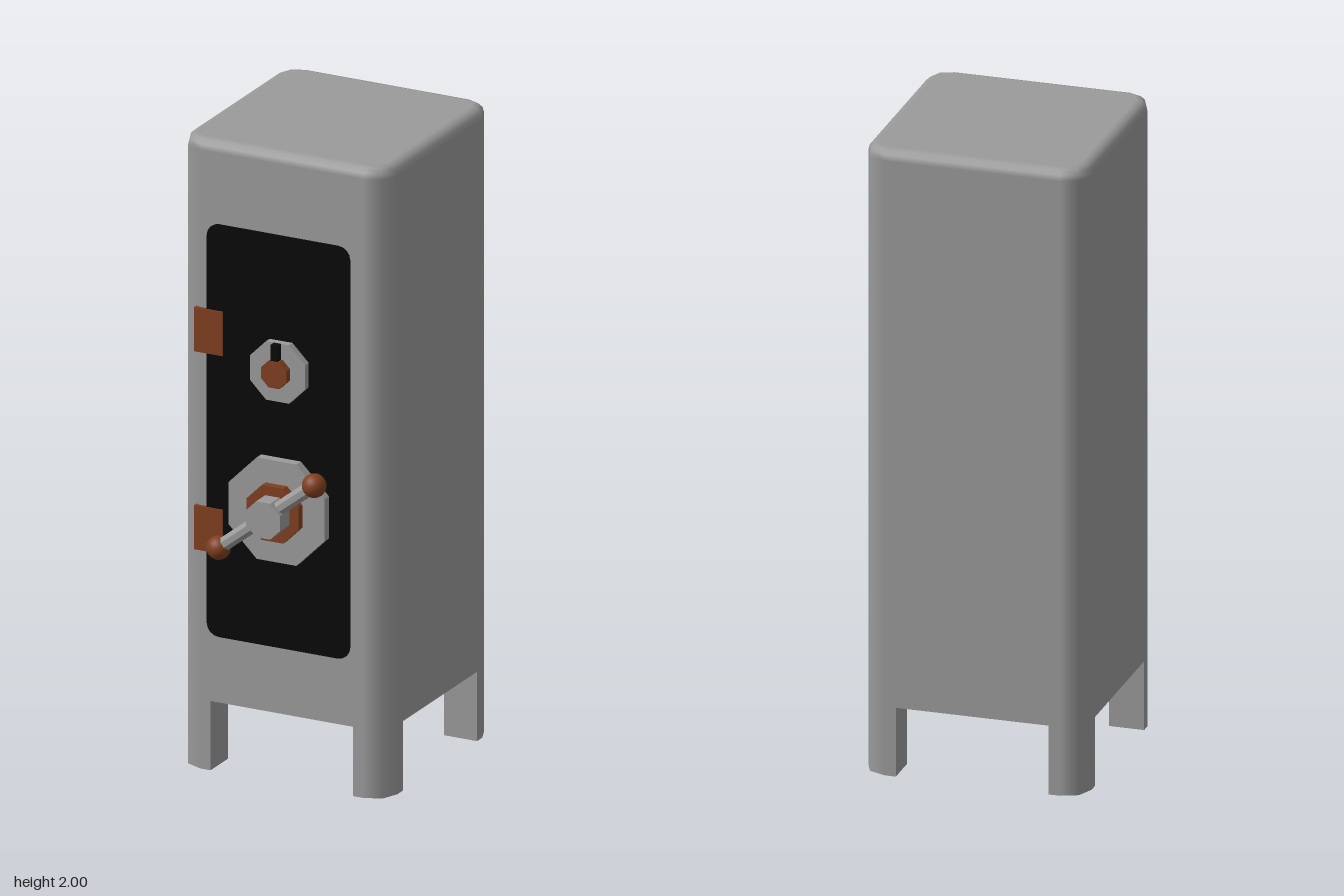
import * as THREE from 'three';

const grey = new THREE.MeshStandardMaterial({ color: 0x9a9a9a });
const greyFlat = new THREE.MeshStandardMaterial({ color: 0x9a9a9a, flatShading: true });
const black = new THREE.MeshStandardMaterial({ color: 0x080808 });
const copper = new THREE.MeshStandardMaterial({ color: 0x7f3f1f });
const copperFlat = new THREE.MeshStandardMaterial({ color: 0x7f3f1f, flatShading: true });

const HALF = 0.349, MID_Z = -0.065, R = 0.075, TOP_R = 0.035, LEG_H = 0.22, LEG_W = 0.11;
const CORE = HALF - R, FRONT = MID_Z + HALF;

// rounded corner in two steps; q = quadrant 0..3
function corner(q, r) {
  const sx = q === 0 || q === 3 ? 1 : -1, sz = q < 2 ? 1 : -1;
  return [0, 1, 2].map((i) => {
    const a = (q + i / 2) * Math.PI / 2, c = Math.cos(a), s = Math.sin(a);
    return { x: sx * CORE + r * c, z: sz * CORE + r * s, c, s };
  });
}

// cabinet body: stacked rounded-square rings with flat caps; normals follow the rounding
function bodyGeometry() {
  const rings = [[LEG_H, R, -1], [LEG_H, R, 0]];
  for (let i = 0; i <= 3; i++) {
    const a = i * Math.PI / 6;
    rings.push([2 - TOP_R + TOP_R * Math.sin(a), R - TOP_R + TOP_R * Math.cos(a), Math.sin(a)]);
  }
  const pos = [], nor = [], idx = [], n = 12;
  for (const [y, r, ny] of rings) {
    const side = Math.sqrt(Math.max(0, 1 - ny * ny));
    for (let q = 0; q < 4; q++)
      for (const p of corner(q, r)) {
        pos.push(p.x, y, p.z);
        nor.push(p.c * side, ny, p.s * side);
      }
  }
  const bottom = pos.length / 3, top = bottom + 1, last = (rings.length - 1) * n;
  pos.push(0, LEG_H, 0, 0, 2, 0);
  nor.push(0, -1, 0, 0, 1, 0);
  for (let i = 0; i < n; i++) {
    const j = (i + 1) % n;
    for (let k = n; k < last; k += n)
      idx.push(k + i, k + n + i, k + n + j, k + i, k + n + j, k + j);
    idx.push(bottom, i, j, top, last + j, last + i);
  }
  const g = new THREE.BufferGeometry();
  g.setAttribute('position', new THREE.Float32BufferAttribute(pos, 3));
  g.setAttribute('normal', new THREE.Float32BufferAttribute(nor, 3));
  g.setIndex(idx);
  return g;
}

// square leg that carries on the rounded outer corner
function legGeometry(q) {
  const arc = corner(q, R), inner = HALF - LEG_W;
  const sx = Math.sign(arc[1].x), sz = Math.sign(arc[1].z);
  const alongX = { x: sx * inner, z: sz * HALF }, alongZ = { x: sx * HALF, z: sz * inner };
  const [first, end] = q % 2 ? [alongX, alongZ] : [alongZ, alongX];
  const pts = [{ x: sx * inner, z: sz * inner }, first, ...arc, end];
  const shape = new THREE.Shape(pts.map((p) => new THREE.Vector2(p.x, -p.z)));
  const g = new THREE.ExtrudeGeometry(shape, { depth: LEG_H, bevelEnabled: false });
  g.rotateX(-Math.PI / 2);
  // smooth the rounded edge, leave the other faces flat
  const p = g.attributes.position, nrm = g.attributes.normal;
  for (let i = 0; i < p.count; i++) {
    const dx = p.getX(i) * sx - CORE, dz = p.getZ(i) * sz - CORE;
    if (Math.abs(nrm.getY(i)) < 0.5 && dx > -1e-4 && dz > -1e-4) {
      const d = Math.hypot(dx, dz);
      nrm.setXYZ(i, sx * dx / d, 0, sz * dz / d);
    }
  }
  return g;
}

// door panel with small rounded corners
function doorGeometry(w, h, r, depth) {
  const s = new THREE.Shape(), x = w / 2, y = h / 2;
  s.absarc(x - r, y - r, r, 0, Math.PI / 2);
  s.absarc(r - x, y - r, r, Math.PI / 2, Math.PI);
  s.absarc(r - x, r - y, r, Math.PI, Math.PI * 1.5);
  s.absarc(x - r, r - y, r, Math.PI * 1.5, Math.PI * 2);
  return new THREE.ExtrudeGeometry(s, { depth, bevelEnabled: false, curveSegments: 2 });
}

export function createModel() {
  const model = new THREE.Group();
  model.name = 'safe';
  const add = (name, geometry, material, x, y, z) => {
    const m = new THREE.Mesh(geometry, material);
    m.name = name;
    m.position.set(x, y, z);
    model.add(m);
    return m;
  };
  // octagonal disc facing +z; width measured across the flats
  const octagon = (name, material, width, y, z0, z1) => {
    const r = width / 2 / Math.cos(Math.PI / 8);
    const g = new THREE.CylinderGeometry(r, r, z1 - z0, 8).rotateY(Math.PI / 8).rotateX(Math.PI / 2);
    add(name, g, material, 0, y, (z0 + z1) / 2);
  };
  const box = (name, material, w, h, x, y, z0, z1) =>
    add(name, new THREE.BoxGeometry(w, h, z1 - z0), material, x, y, (z0 + z1) / 2);

  // cabinet and legs
  add('body', bodyGeometry(), grey, 0, 0, MID_Z);
  const legNames = ['frontLeftLeg', 'frontRightLeg', 'backRightLeg', 'backLeftLeg'];
  legNames.forEach((name, q) => add(name, legGeometry(q), grey, 0, 0, MID_Z));

  // door and hinges
  add('door', doorGeometry(0.48, 1.31, 0.04, 0.015), black, -0.01, 1.085, FRONT - 0.01);
  box('lowerHinge', copper, 0.095, 0.14, -0.242, 0.767, FRONT - 0.02, 0.294);
  box('upperHinge', copper, 0.095, 0.14, -0.242, 1.396, FRONT - 0.02, 0.294);

  // combination dial
  octagon('dialPlate', greyFlat, 0.186, 1.314, 0.27, 0.312);
  octagon('dialKnob', copperFlat, 0.085, 1.314, 0.3, 0.336);
  box('dialMarker', black, 0.024, 0.06, 0, 1.377, 0.29, 0.334);

  // handle plate, collar and hub
  octagon('handlePlate', greyFlat, 0.322, 0.874, 0.27, 0.319);
  octagon('handleCollar', copperFlat, 0.174, 0.874, 0.31, 0.345);
  octagon('handleHub', greyFlat, 0.114, 0.874, 0.335, 0.405);

  // tilted handle bar with a ball at each end
  const ends = [new THREE.Vector3(0.156, 1.002, 0.375), new THREE.Vector3(-0.165, 0.75, 0.375)];
  const dir = ends[0].clone().sub(ends[1]);
  const mid = ends[0].clone().add(ends[1]).multiplyScalar(0.5);
  const barGeometry = new THREE.CylinderGeometry(0.023, 0.023, dir.length(), 8).rotateY(Math.PI / 8);
  const bar = add('handleBar', barGeometry, greyFlat, mid.x, mid.y, mid.z);
  bar.quaternion.setFromUnitVectors(new THREE.Vector3(0, 1, 0), dir.normalize());
  ends.forEach((p, i) => add(i ? 'rightHandleBall' : 'leftHandleBall',
    new THREE.SphereGeometry(0.037, 20, 14), copper, p.x, p.y, p.z));

  return model;
}
